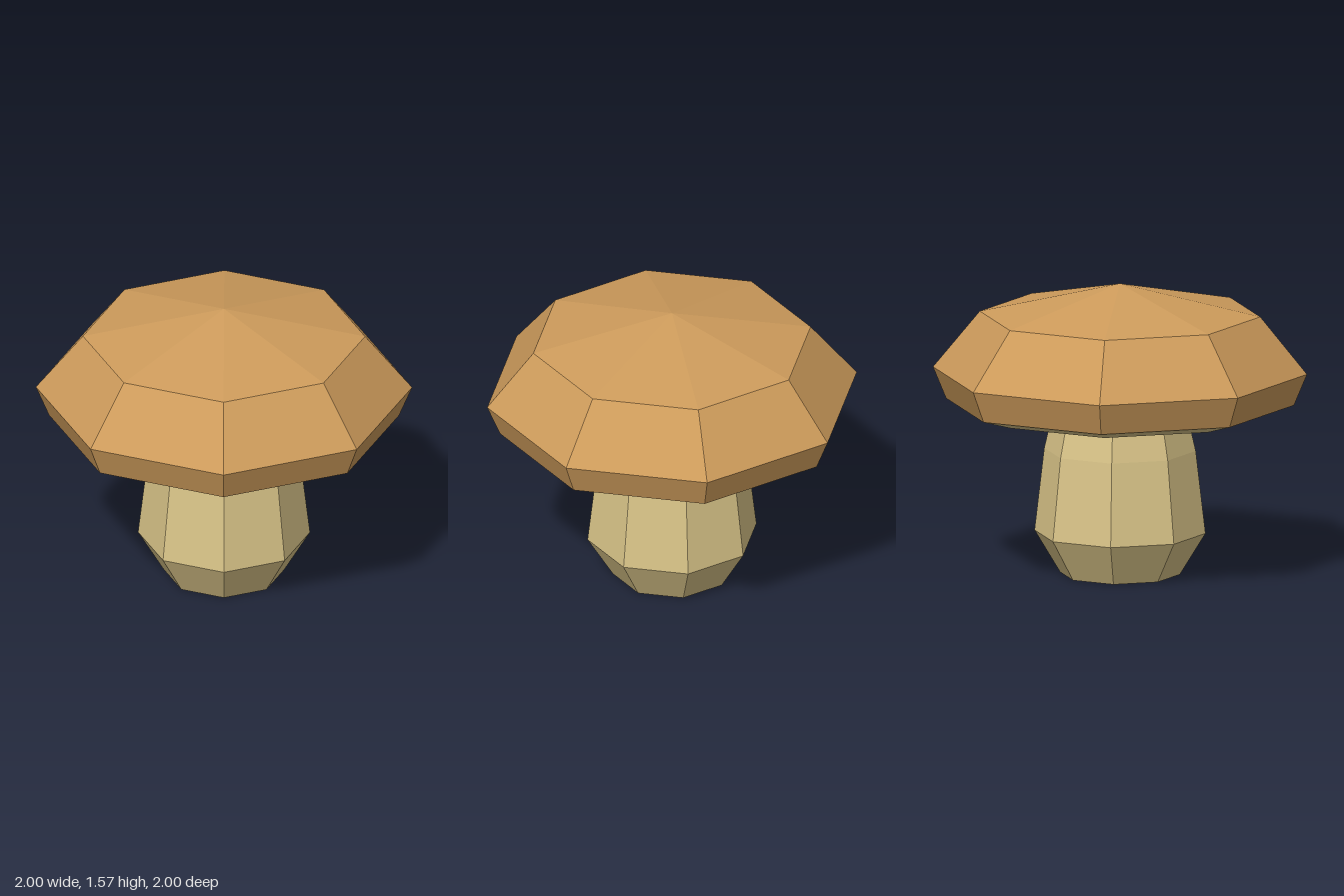
import * as THREE from 'three';

const SIDES = 8;

const capBrown = new THREE.MeshStandardMaterial({ color: 0xcd9b5b, flatShading: true });
capBrown.name = 'capBrown';
const stemCream = new THREE.MeshStandardMaterial({ color: 0xd9c488, flatShading: true });
stemCream.name = 'stemCream';

// Faceted solid of revolution; profile of [radius, height] runs bottom to top on the outside
function turned(name, profile, material) {
  const points = profile.map(([r, y]) => new THREE.Vector2(r, y));
  const mesh = new THREE.Mesh(new THREE.LatheGeometry(points, SIDES), material);
  mesh.name = name;
  return mesh;
}

export function createModel() {
  const mushroom = new THREE.Group();
  mushroom.name = 'mushroom';

  // Stem: closed base, bulge low down, tapering into the cap
  mushroom.add(turned('stem', [[0, 0], [0.32, 0], [0.457, 0.225], [0.405, 0.67], [0.35, 0.91]], stemCream));

  // Underside: slightly hollow centre and a bevelled rim
  mushroom.add(turned('capUnderside', [[0, 0.915], [0.75, 0.875], [0.93, 0.928]], stemCream));

  // Cap: short lip, broad shoulder and shallow peak
  mushroom.add(turned('cap', [[0.93, 0.928], [1, 1.097], [0.75, 1.403], [0, 1.568]], capBrown));

  return mushroom;
}
